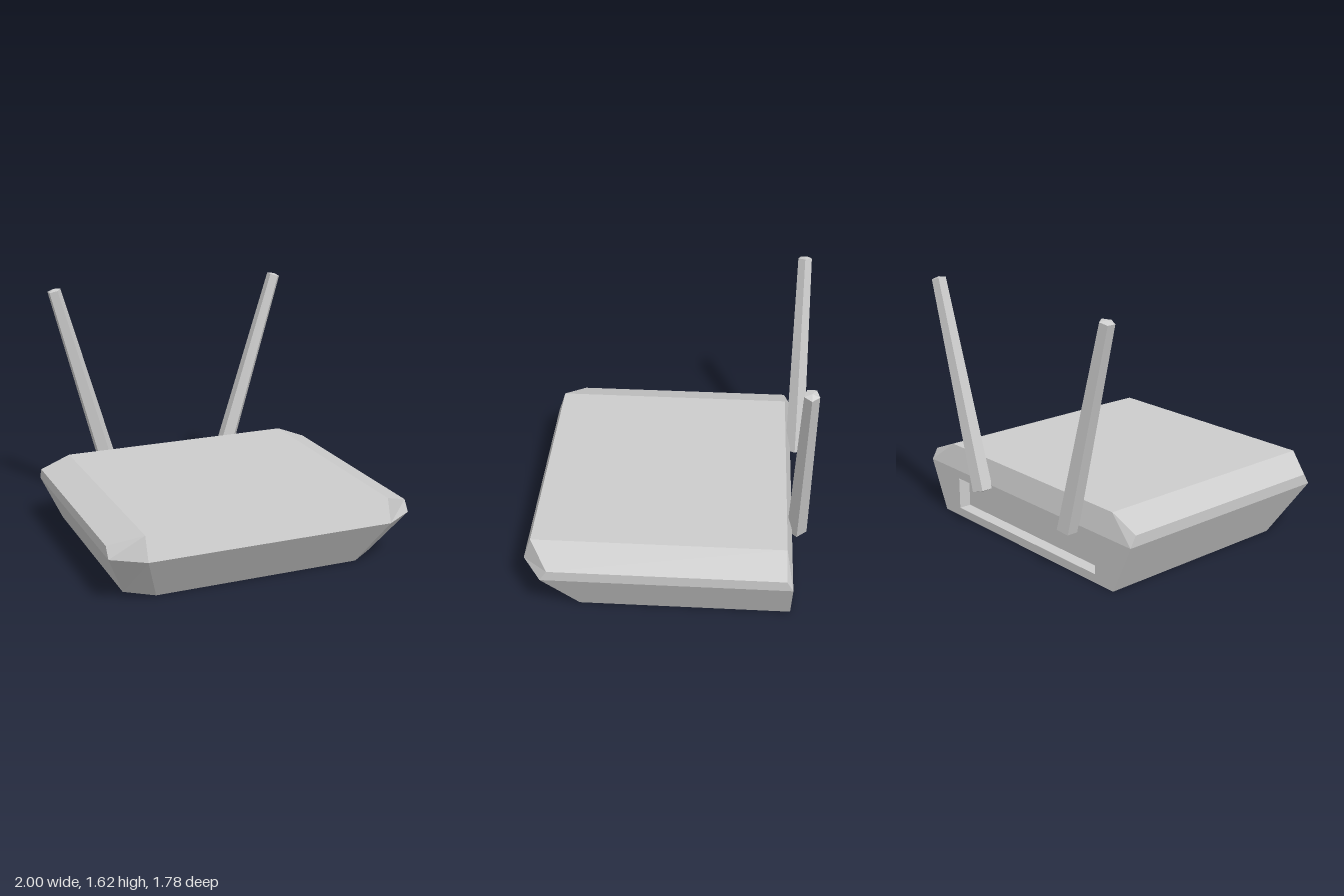
import * as THREE from 'three';

const casing = new THREE.MeshStandardMaterial({ color: 0xcccccc, flatShading: true });
casing.name = 'lightGreyCasing';

const mirror = ([x, y, z]) => [-x, y, z];

function buildBody() {
  const positions = [];
  const face = (...pts) => {
    for (let i = 1; i < pts.length - 1; i++) positions.push(...pts[0], ...pts[i], ...pts[i + 1]);
  };
  const bothSides = (...pts) => {
    face(...pts);
    face(...pts.map(mirror).reverse());
  };

  // Left-half corners: front edge, side edge and back edge, each from bottom to top
  const f0 = [0.68, 0, 0.67], f1 = [0.8, 0.32, 0.89], f2 = [0.8, 0.47, 0.84];
  const s0 = [0.85, 0, 0.545], s1 = [1, 0.32, 0.76], s2 = [1, 0.39, 0.715];
  const b0 = [0.85, 0, -0.79], b1 = [1, 0.32, -0.79], b2 = [0.8, 0.47, -0.75];
  const bs = [1, 0.39, -0.75];
  // Port recess in the back
  const rt = [0.69, 0.265, -0.79], rb = [0.69, 0.055, -0.79];
  const rti = [0.69, 0.265, -0.71], rbi = [0.69, 0.055, -0.71];

  // Faces spanning the full width, following the profile around the body
  const loop = [f0, f1, f2, b2, b1, rt, rti, rbi, rb, b0];
  loop.forEach((a, i) => {
    const b = loop[(i + 1) % loop.length];
    face(a, b, mirror(b), mirror(a));
  });

  bothSides(s0, b0, b1, s1);     // lower side
  bothSides(s1, b1, bs, s2);     // rim
  bothSides(s2, bs, b2, f2);     // sloping shoulder
  bothSides(f0, s0, s1, f1);     // lower front corner
  bothSides(f1, s1, s2, f2);     // upper front corner
  bothSides(bs, b1, b2);         // upper back corner
  bothSides(b0, rb, rt, b1);     // back beside the recess
  bothSides(rt, rb, rbi, rti);   // recess end walls
  bothSides(f0, b0, s0);         // underside edge

  const geometry = new THREE.BufferGeometry();
  geometry.setAttribute('position', new THREE.Float32BufferAttribute(positions, 3));
  geometry.computeVertexNormals();
  const body = new THREE.Mesh(geometry, casing);
  body.name = 'body';
  return body;
}

// Tapered five-sided rod with shallow pointed ends
function buildAntenna(name, xBottom, xTop) {
  const yBottom = 0.285, yTop = 1.607;
  const dx = xTop - xBottom, dy = yTop - yBottom;
  const length = Math.hypot(dx, dy);
  const profile = [[0, -0.012], [0.067, 0], [0.047, length], [0, length + 0.012]];
  const geometry = new THREE.LatheGeometry(
    profile.map(([r, y]) => new THREE.Vector2(r, y)), 5, Math.PI / 2);
  const antenna = new THREE.Mesh(geometry, casing);
  antenna.name = name;
  antenna.position.set(xBottom, yBottom, -0.823);
  antenna.rotation.z = -Math.atan2(dx, dy);
  return antenna;
}

export function createModel() {
  const model = new THREE.Group();
  model.name = 'router';
  model.add(
    buildBody(),
    buildAntenna('leftAntenna', 0.374, 0.776),
    buildAntenna('rightAntenna', -0.479, -0.842),
  );
  return model;
}
